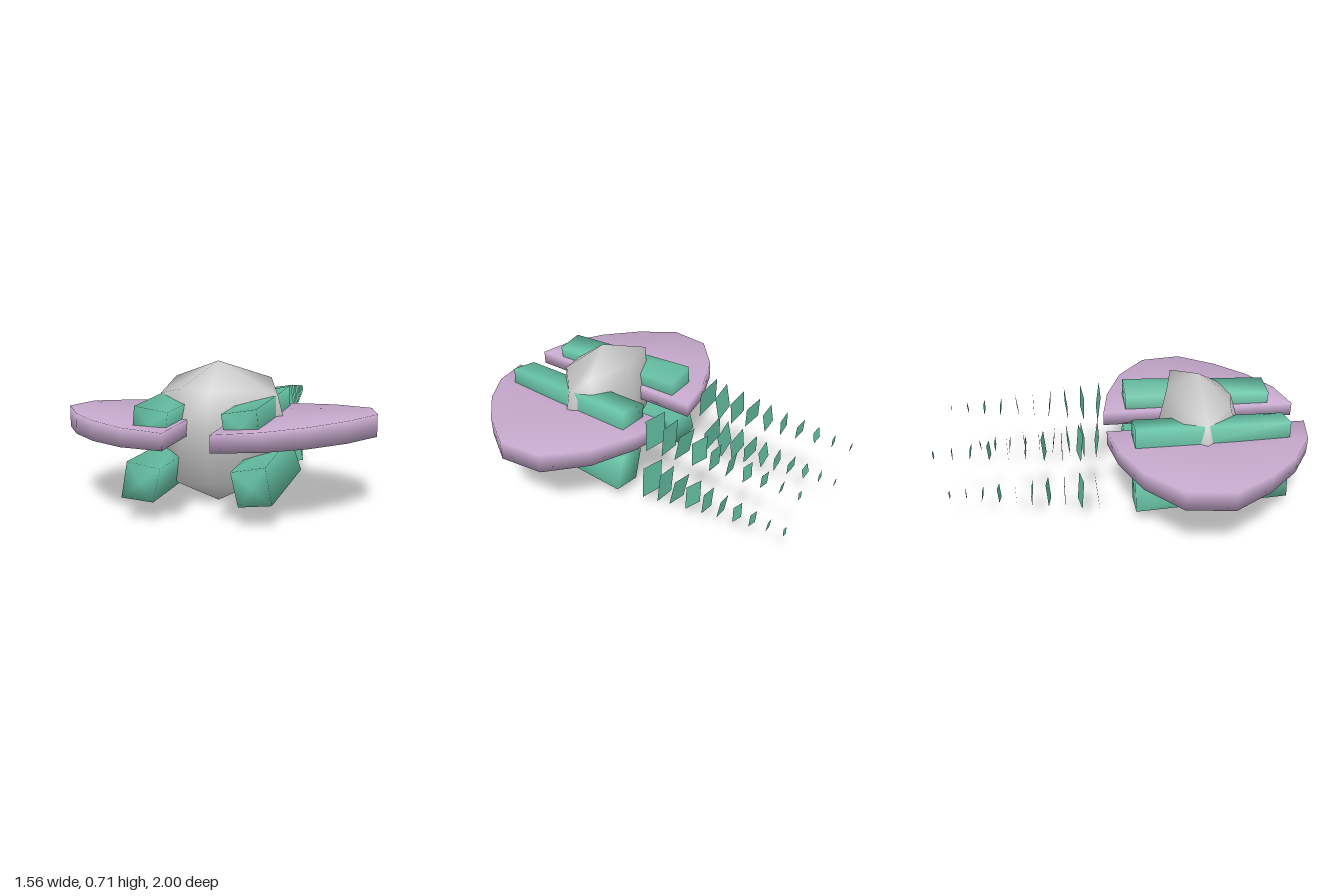
import * as THREE from 'three';

const grey = new THREE.MeshStandardMaterial({ color: 0xcccccc });
const mauve = new THREE.MeshStandardMaterial({ color: 0xc5a8cc });
const green = new THREE.MeshStandardMaterial({ color: 0x66c2a5 });
const greenSheet = new THREE.MeshStandardMaterial({ color: 0x66c2a5, side: THREE.DoubleSide });

// Smooth closed solid through equal-length rings, capped with a fan to a point at each end
function loft(rings, startCap, endCap) {
  const n = rings[0].length;
  const pts = [...rings.flat(), startCap, endCap];
  const s = pts.length - 2, e = pts.length - 1, last = (rings.length - 1) * n;
  let tris = [];
  for (let j = 0; j < n; j++) {
    const k = (j + 1) % n;
    for (let i = 0; i < rings.length - 1; i++) {
      const a = i * n + j, b = i * n + k;
      tris.push([a, b, b + n], [a, b + n, a + n]);
    }
    tris.push([s, k, j], [e, last + j, last + k]);
  }
  // Turn the faces outward when the rings run the other way (mirrored parts)
  const v = pts.map((p) => new THREE.Vector3(...p));
  const cross = new THREE.Vector3();
  const volume = tris.reduce((sum, [a, b, c]) => sum + v[a].dot(cross.crossVectors(v[b], v[c])), 0);
  if (volume < 0) tris = tris.map(([a, b, c]) => [a, c, b]);
  const geo = new THREE.BufferGeometry().setFromPoints(v);
  geo.setIndex(tris.flat());
  geo.computeVertexNormals();
  return geo;
}

const average = (ring) => [0, 1, 2].map((k) => ring.reduce((t, p) => t + p[k], 0) / ring.length);

function add(parent, name, geo, material) {
  const mesh = new THREE.Mesh(geo, material);
  mesh.name = name;
  parent.add(mesh);
  return mesh;
}

// Faceted central hull: half rings from front to back, mirrored across x
function hullGeometry() {
  const halves = [
    [[0, 0.12, 0.57], [0.18, 0.11, 0.53], [0.28, 0.19, 0.41], [0.2, 0.1, 0.28], [0, 0.13, 0.23]],
    [[0, 0.38, 0.66], [0.13, 0.38, 0.62], [0.34, 0.39, 0.41], [0.23, 0.37, 0.27], [0, 0.38, 0.19]],
    [[0, 0.57, 0.6], [0.15, 0.58, 0.56], [0.3, 0.54, 0.41], [0.25, 0.62, 0.3], [0, 0.63, 0.24]],
  ];
  const rings = halves.map((h) => [...h, ...h.slice(1, 4).reverse().map(([x, y, z]) => [-x, y, z])]);
  return loft(rings, [0, 0, 0.41], [0, 0.708, 0.41]);
}

// Half-disc wing with a flat underside and a top that rises to the rim
function wingGeometry(side) {
  const outline = [[0.105, 1], [0.31, 0.95], [0.49, 0.83], [0.65, 0.66], [0.78, 0.45],
    [0.75, 0.21], [0.56, 0.04], [0.32, -0.06], [0.105, -0.1]];
  const bottom = outline.map(([x, z]) => [side * x, 0.36, z]);
  const top = outline.map(([x, z]) => [side * x, 0.437 + 0.045 * (x - 0.1), z]);
  return loft([bottom, top], [side * 0.36, 0.36, 0.45], [side * 0.36, 0.442, 0.45]);
}

// Four-sided engine pod between a back and a front quad
function podGeometry(side, back, front) {
  const b = back.map(([x, y]) => [side * x, y, 0.03]);
  const f = front.map(([x, y]) => [side * x, y, 0.86]);
  return loft([b, f], average(b), average(f));
}

// Exhaust trail: square sheets that shrink with distance
function trail(side, y, endY, x, tilt, start, end) {
  const group = new THREE.Group();
  const count = 10;
  for (let i = 0; i < count; i++) {
    const t = i / (count - 1);
    const size = THREE.MathUtils.lerp(0.165, 0.035, t);
    const sheet = add(group, 'exhaustSheet', new THREE.PlaneGeometry(size, size), greenSheet);
    sheet.position.set(side * THREE.MathUtils.lerp(x, 0.25, t),
      THREE.MathUtils.lerp(y, endY, t), THREE.MathUtils.lerp(start, end, t));
    sheet.rotation.set(0.13 * Math.sin(i * 2.1 + side), 0.1 * Math.sin(i * 1.7), side * tilt);
  }
  return group;
}

export function createModel() {
  const model = new THREE.Group();
  add(model, 'hull', hullGeometry(), grey);

  for (const side of [1, -1]) {
    const label = side > 0 ? 'left' : 'right';
    add(model, label + 'Wing', wingGeometry(side), mauve);
    add(model, label + 'UpperEngine', podGeometry(side,
      [[0.305, 0.55], [0.13, 0.515], [0.145, 0.35], [0.315, 0.375]],
      [[0.275, 0.53], [0.12, 0.505], [0.14, 0.355], [0.29, 0.375]]), green);
    add(model, label + 'LowerEngine', podGeometry(side,
      [[0.315, 0.27], [0.16, 0.24], [0.21, 0.068], [0.375, 0.09]],
      [[0.315, 0.278], [0.16, 0.25], [0.195, 0.095], [0.345, 0.11]]), green);

    const upper = trail(side, 0.45, 0.44, 0.225, 0.14, side > 0 ? -0.12 : -0.16, side > 0 ? -0.96 : -1);
    upper.name = label + 'UpperExhaust';
    const lower = trail(side, 0.175, 0.19, 0.27, 0.2, side > 0 ? -0.13 : -0.17, side > 0 ? -0.91 : -0.95);
    lower.name = label + 'LowerExhaust';
    model.add(upper, lower);
  }
  return model;
}
